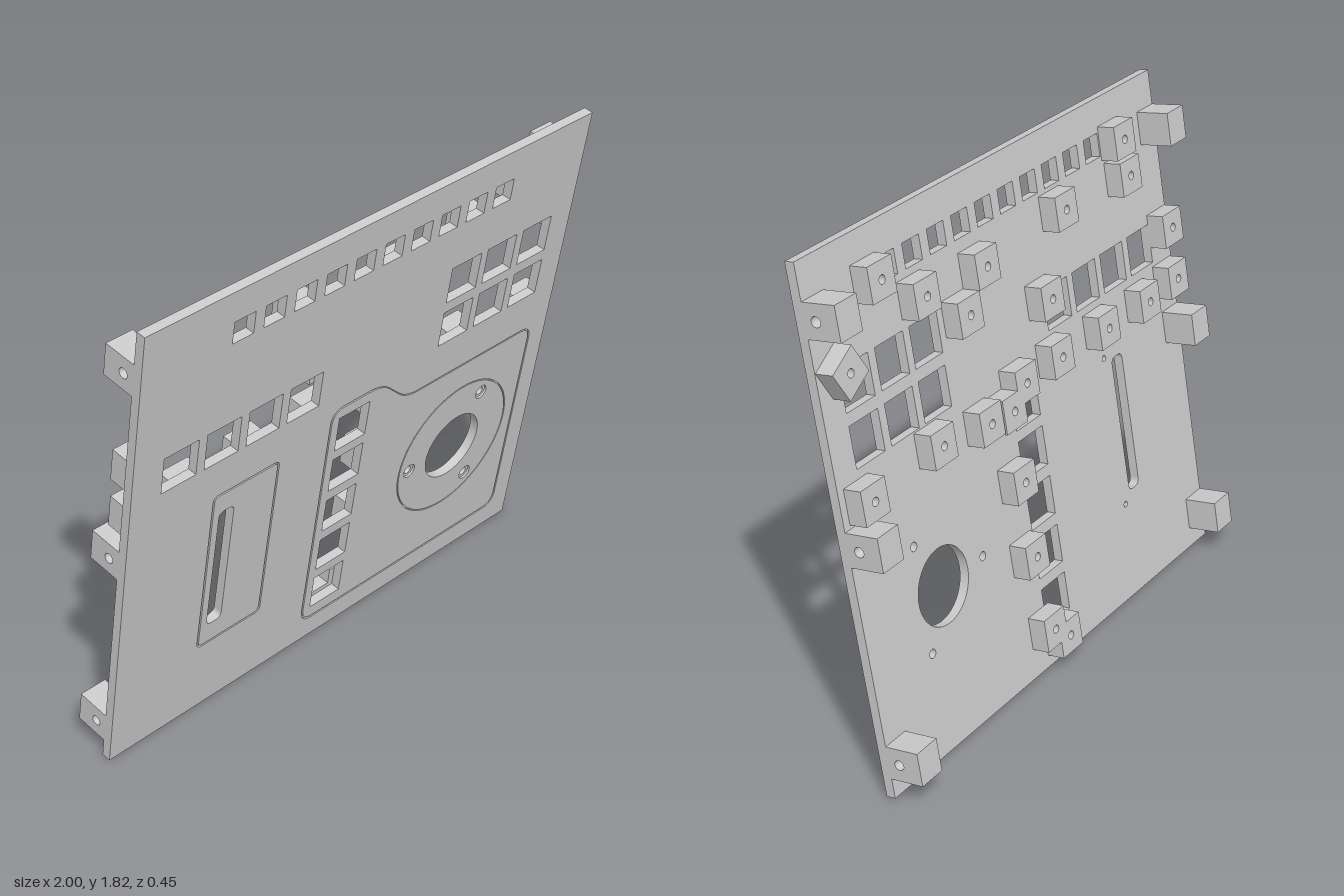
import * as THREE from 'three';

const WIDTH = 2, LENGTH = 1.84, THICK = 0.035, SKIN = 0.008, GROOVE = 0.007;
const material = new THREE.MeshStandardMaterial({ color: 0xcccccc });

// Outline through corner points, each corner rounded by r
function outline(points, r = 0, Type = THREE.Shape) {
  const path = new Type();
  const pts = points.map(([x, y]) => new THREE.Vector2(x, y));
  const toward = (a, b) => b.clone().sub(a).setLength(r).add(a);
  pts.forEach((p, i) => {
    const a = r ? toward(p, pts.at(i - 1)) : p;
    if (i === 0) path.moveTo(a.x, a.y);
    else path.lineTo(a.x, a.y);
    if (r) {
      const b = toward(p, pts[(i + 1) % pts.length]);
      path.quadraticCurveTo(p.x, p.y, b.x, b.y);
    }
  });
  path.closePath();
  return path;
}

const rect = (x, y, w, h) => [
  [x - w / 2, y - h / 2], [x + w / 2, y - h / 2], [x + w / 2, y + h / 2], [x - w / 2, y + h / 2],
];
const window_ = (x, y, w, h, r = 0) => outline(rect(x, y, w, h), r, THREE.Path);

function circle(x, y, r, Type = THREE.Path) {
  const c = new Type();
  c.absarc(x, y, r, 0, Math.PI * 2);
  return c;
}

// Shrinks an outline about the middle of its bounds
function inset(points, d) {
  const box = new THREE.Box2().setFromPoints(points.map(([x, y]) => new THREE.Vector2(x, y)));
  const c = box.getCenter(new THREE.Vector2()), s = box.getSize(new THREE.Vector2());
  return points.map(([x, y]) => [
    c.x + (x - c.x) * (1 - 2 * d / s.x), c.y + (y - c.y) * (1 - 2 * d / s.y),
  ]);
}

function slab(name, shape, holes, z, depth) {
  shape.holes.push(...holes);
  const geometry = new THREE.ExtrudeGeometry(shape, { depth, bevelEnabled: false, curveSegments: 40 });
  const mesh = new THREE.Mesh(geometry, material);
  mesh.name = name;
  mesh.position.z = z;
  return mesh;
}

// Block with a blind hole opening on its +z face; base at z = 0
function drilledBlock(name, w, h, d, r, holeX = 0) {
  const block = new THREE.Group();
  block.name = name;
  const floor = d * 0.35;
  block.add(
    slab('blockBase', outline(rect(0, 0, w, h)), [], 0, floor),
    slab('blockSleeve', outline(rect(0, 0, w, h)), [circle(holeX, 0, r)], floor, d - floor),
  );
  return block;
}

export function createModel() {
  const model = new THREE.Group();
  model.name = 'controlPanel';
  const panel = new THREE.Group();
  panel.name = 'tiltedPanel';
  panel.position.z = -0.109;
  panel.rotation.x = 0.167;
  model.add(panel);

  // Button windows outside the grooved fields
  const buttonWindows = () => {
    const list = [];
    for (let i = 0; i < 10; i++) list.push(window_(-0.588 + i * 0.1307, 1.678, 0.088, 0.085));
    for (const x of [0.463, 0.641, 0.821])
      for (const y of [1.383, 1.195]) list.push(window_(x, y, 0.145, 0.145));
    for (let i = 0; i < 4; i++) list.push(window_(-0.802 + i * 0.18, 1.23, 0.145, 0.145));
    return list;
  };
  // Column of windows inside the wheel field
  const columnWindows = () =>
    [0.968, 0.783, 0.594, 0.407, 0.22].map((y) => window_(0, y, 0.145, 0.145));
  const slot = () => window_(-0.568, 0.656, 0.066, 0.52, 0.025);
  const wheel = [0.583, 0.564];
  const screws = [[0.695, 0.761], [0.359, 0.564], [0.695, 0.371]];
  const wheelHoles = (r) => [circle(...wheel, 0.136), ...screws.map(([x, y]) => circle(x, y, r))];

  const faderField = rect(-0.489, 0.653, 0.294, 0.7);
  const wheelField = [
    [-0.114, 0.09], [0.918, 0.09], [0.918, 0.962], [0.262, 0.962], [0.125, 1.09], [-0.114, 1.09],
  ];
  const plate = () => outline(rect(0, LENGTH / 2, WIDTH, LENGTH));

  // Back layer carries every through hole and the fader screw holes
  panel.add(slab('plateBack', plate(), [
    ...buttonWindows(), ...columnWindows(), slot(), ...wheelHoles(0.016),
    circle(-0.49, 0.935, 0.011), circle(-0.5, 0.357, 0.011),
  ], -THICK, THICK - SKIN));

  // Front skin and inset fields leave narrow engraved grooves between them
  panel.add(
    slab('plateFront', plate(), [
      ...buttonWindows(),
      outline(faderField, 0.025, THREE.Path),
      outline(wheelField, 0.06, THREE.Path),
    ], -SKIN, SKIN),
    slab('faderField', outline(inset(faderField, GROOVE), 0.02), [slot()], -SKIN, SKIN),
    slab('wheelField', outline(inset(wheelField, GROOVE), 0.055),
      [...columnWindows(), circle(...wheel, 0.281)], -SKIN, SKIN),
    slab('wheelDisc', circle(...wheel, 0.276, THREE.Shape), wheelHoles(0.028), -SKIN, SKIN),
  );

  // Mounting posts on the back: x, height along the panel, turn
  const posts = [
    [0.7, 1.68], [-0.7, 1.68], [0.5, 1.55], [0.175, 1.53], [0.3, 1.41], [-0.3, 1.56],
    [-0.71, 1.545], [0.915, 1.46, 0.5], [0.91, 1.03], [0.54, 1.055], [0.28, 1.02],
    [0.06, 1.075], [0.15, 1.01], [-0.15, 1.295], [-0.16, 1.08], [-0.455, 1.07], [-0.73, 1.065],
    [-0.935, 1.275], [-0.93, 1.08], [0.15, 0.75], [0.15, 0.47], [0.11, 0.17], [0.03, 0.105],
  ];
  for (const [x, y, turn = 0] of posts) {
    const post = drilledBlock('mountingPost', 0.122, 0.122, 0.067, 0.015);
    post.position.set(x, y, -THICK);
    post.rotation.set(0, Math.PI, turn);
    panel.add(post);
  }

  // Side brackets, drilled from the outer side
  for (const side of [-1, 1])
    for (const y of [0.133, 0.895, 1.655]) {
      const bracket = drilledBlock('sideBracket', 0.126, 0.12, 0.105, 0.018, side * -0.02);
      bracket.position.set(side * (WIDTH / 2 - 0.105), y, -THICK - 0.063);
      bracket.rotation.y = side * Math.PI / 2;
      panel.add(bracket);
    }

  return model;
}
